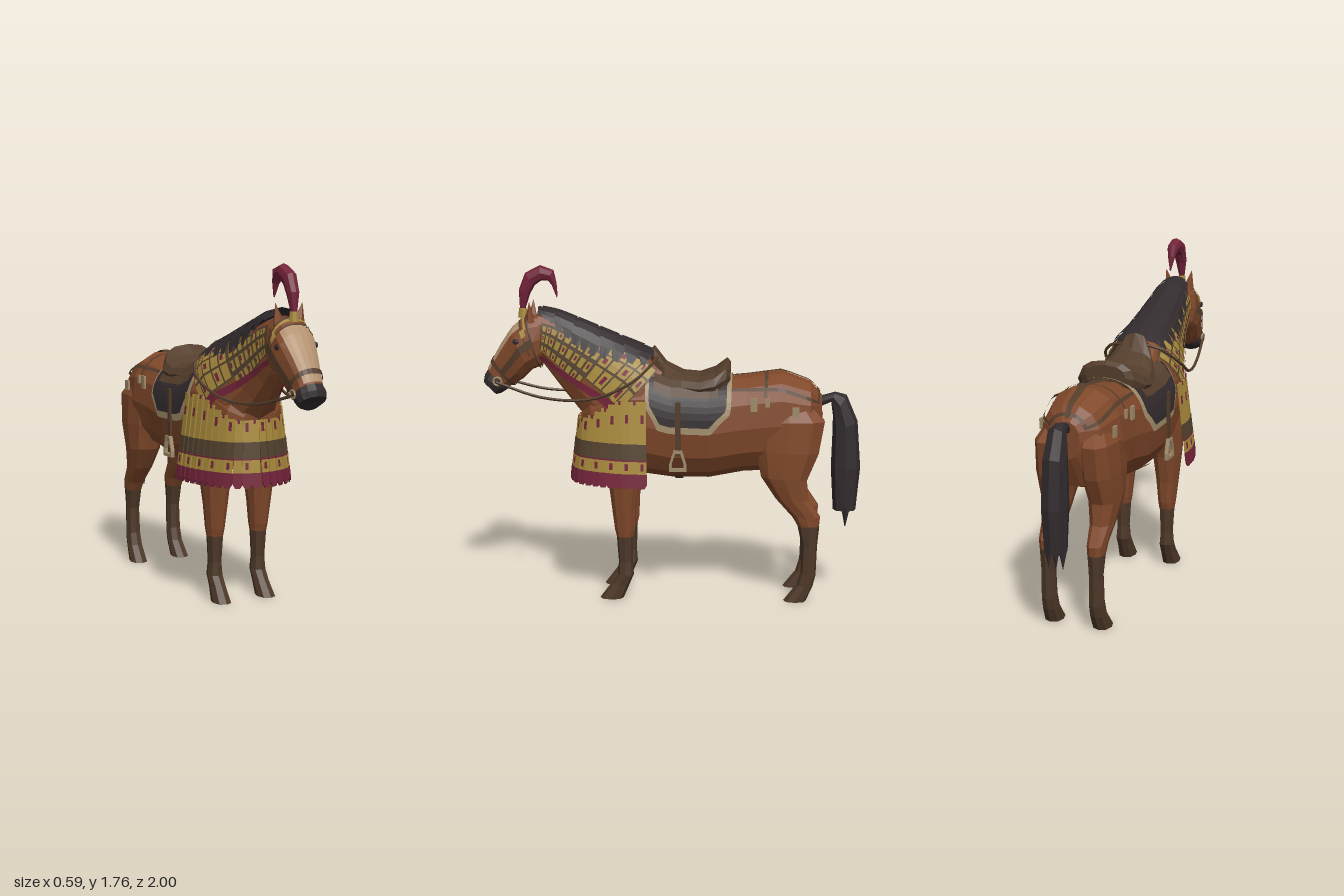
import * as THREE from 'three';
import { mergeGeometries } from 'three/addons/utils/BufferGeometryUtils.js';

const mat = (name, color) => Object.assign(new THREE.MeshStandardMaterial({ color, side: THREE.DoubleSide }), { name });
const lerp = THREE.MathUtils.lerp;

// Each ring is [topY, topZ, bottomY, bottomZ, halfWidth, centreX]; u runs along rings, t (degrees) around them
function surf(rings, u, t, off = 0, side = 1) {
  const i = Math.min(Math.floor(u), rings.length - 2), f = u - i;
  const [ty, tz, by, bz, w, x = 0] = rings[i].map((v, k) => lerp(v, rings[i + 1][k], f));
  const pw = v => Math.sign(v) * Math.pow(Math.abs(v), 0.85);
  const c = pw(Math.cos(t * Math.PI / 180)), s = pw(Math.sin(t * Math.PI / 180));
  const len = Math.hypot(ty - by, tz - bz) / 2 || 1, k = s * (1 + off / len) / 2;
  return [x * side + c * (w + off), (ty + by) / 2 + (ty - by) * k, (tz + bz) / 2 + (tz - bz) * k];
}

// Faceted sheet from f(a, b), both from 0 to 1
function grid(nu, nv, f, caps = false) {
  const pos = [], p = (i, j) => f(i / nu, j / nv);
  for (let i = 0; i < nu; i++) for (let j = 0; j < nv; j++) {
    const a = p(i, j), b = p(i, j + 1), c = p(i + 1, j), d = p(i + 1, j + 1);
    pos.push(...a, ...b, ...c, ...b, ...d, ...c);
  }
  if (caps) for (let j = 1; j < nv - 1; j++) {
    pos.push(...p(0, 0), ...p(0, j + 1), ...p(0, j), ...p(nu, 0), ...p(nu, j), ...p(nu, j + 1));
  }
  const g = new THREE.BufferGeometry();
  g.setAttribute('position', new THREE.Float32BufferAttribute(pos, 3));
  return g;
}
const loft = (rings, n = 12, side = 1) =>
  grid(rings.length - 1, n, (a, b) => surf(rings, a * (rings.length - 1), b * 360, 0, side), true);
// Plate following a lofted surface; t may slide from one pair to another
const patch = (rings, u0, u1, t0, t1, off, e0 = t0, e1 = t1) =>
  grid(Math.max(2, Math.ceil((u1 - u0) * 4)), Math.max(1, Math.ceil(Math.abs(t1 - t0) / 15)),
    (a, b) => surf(rings, lerp(u0, u1, a), lerp(lerp(t0, e0, a), lerp(t1, e1, a), b), off));
// The same plate on both sides
const pair = (r, u0, u1, t0, t1, off, e0 = t0, e1 = t1) => [
  patch(r, u0, u1, t0, t1, off, e0, e1), patch(r, u0, u1, 180 - t1, 180 - t0, off, 180 - e1, 180 - e0)];
const box = (w, h, d, x, y, z) => new THREE.BoxGeometry(w, h, d).translate(x, y, z);

const BODY = [[1.09, -.79, .9, -.79, .07], [1.16, -.73, .74, -.72, .165], [1.215, -.58, .69, -.55, .205], [1.19, -.4, .68, -.38, .205],
  [1.17, -.2, .645, -.2, .215], [1.18, 0, .645, 0, .215], [1.23, .12, .66, .12, .215], [1.22, .26, .68, .28, .205],
  [1.12, .42, .72, .4, .17], [1.04, .47, .82, .46, .1]];
const NECK = [[1.24, .02, .82, .4, .2], [1.3, .12, .96, .46, .178], [1.37, .3, 1.06, .54, .125],
  [1.43, .45, 1.15, .61, .098], [1.49, .6, 1.23, .67, .085], [1.51, .7, 1.27, .7, .08]];
const HEAD = [[1.5, .69, 1.27, .66, .08], [1.5, .76, 1.23, .69, .105], [1.43, .845, 1.21, .74, .115],
  [1.34, .905, 1.16, .79, .095], [1.25, .955, 1.13, .84, .076], [1.21, .975, 1.12, .86, .074]];
const MUZZLE = [HEAD[5], [1.18, .995, 1.1, .88, .08], [1.15, 1, 1.08, .91, .072], [1.12, .965, 1.075, .93, .04]];
const HIND = [[1.08, -.52, 1.08, -.7, .04, .1], [.97, -.43, .97, -.81, .085, .12], [.82, -.44, .8, -.78, .092, .122],
  [.68, -.47, .66, -.72, .08, .13], [.56, -.55, .55, -.73, .06, .13], [.46, -.64, .46, -.79, .046, .13], [.41, -.67, .41, -.785, .042, .13]];
const HIND_LOW = [HIND[6], [.3, -.695, .3, -.775, .036, .13], [.16, -.69, .14, -.77, .04, .13], [.09, -.67, .08, -.755, .042, .13], [0, -.6, 0, -.72, .047, .133]];
const FORE = [[1, .36, 1, .12, .06, .12], [.82, .4, .8, .1, .085, .12], [.66, .33, .65, .155, .077, .13],
  [.5, .31, .5, .18, .06, .13], [.38, .295, .38, .185, .047, .13], [.34, .285, .34, .195, .042, .13]];
const FORE_LOW = [FORE[5], [.2, .275, .2, .2, .034, .13], [.13, .28, .13, .195, .041, .13], [.08, .315, .07, .22, .04, .13], [0, .375, 0, .25, .046, .133]];
const TAIL = [[1.02, -.77, 1.08, -.77, .02], [1.05, -.84, 1.105, -.86, .03], [.98, -.85, 1.09, -.92, .05],
  [.9, -.85, .95, -.98, .06], [.7, -.845, .7, -1, .065], [.47, -.86, .47, -.98, .055]];
const PLUME = [[1.52, .775, 1.52, .8, .014], [1.61, .745, 1.63, .805, .03], [1.655, .72, 1.72, .77, .034], [1.68, .685, 1.76, .69, .034],
  [1.68, .65, 1.735, .62, .03], [1.655, .63, 1.67, .605, .02], [1.59, .605, 1.6, .6, .004]];
const SEAT = [[1.26, -.31, 1.14, -.31, .11], [1.28, -.29, 1.1, -.29, .15], [1.23, -.23, 1.08, -.23, .19], [1.2, -.15, 1.08, -.15, .19],
  [1.21, -.06, 1.08, -.06, .17], [1.26, .03, 1.1, .03, .13], [1.345, .09, 1.13, .09, .085], [1.32, .115, 1.16, .11, .05]];

export function createModel() {
  const root = new THREE.Group();
  root.name = 'armouredHorse';
  const M = {
    coat: mat('chestnut coat', 0x80482a), dark: mat('dark lower leg', 0x4d3828), hair: mat('black hair', 0x322b2d),
    gold: mat('gilded plate', 0xa88a3c), red: mat('crimson cloth', 0x74243a), trim: mat('pale trim', 0xa08c6a),
    blaze: mat('tan face', 0xb39270), leather: mat('brown leather', 0x543d2b), backing: mat('armour backing', 0x54422f),
  };
  const add = (name, material, ...geos) => {
    const flat = geos.flat().map(g => {
      const n = g.index ? g.toNonIndexed() : g;
      n.deleteAttribute('uv');
      n.computeVertexNormals();
      return n;
    });
    const mesh = new THREE.Mesh(mergeGeometries(flat), material);
    mesh.name = name;
    root.add(mesh);
  };
  const sides = [1, -1];
  const both = f => sides.flatMap(f);

  // Animal
  add('body', M.coat, loft(BODY, 14));
  add('neck', M.coat, loft(NECK));
  add('head', M.coat, loft(HEAD));
  add('muzzle', M.hair, loft(MUZZLE));
  add('faceBlaze', M.blaze, patch(HEAD, 1.45, 4.85, 46, 134, .004, 50, 130));
  add('upperLegs', M.coat, both(s => [loft(HIND, 10, s), loft(FORE, 10, s)]));
  add('lowerLegs', M.dark, both(s => [loft(HIND_LOW, 8, s), loft(FORE_LOW, 8, s)]));
  add('ears', M.coat, both(s => new THREE.ConeGeometry(.034, .11, 5).scale(1, 1, .8).rotateZ(-s * .2).translate(s * .066, 1.522, .74)));
  add('eyes', M.hair, both(s => new THREE.SphereGeometry(.016, 6, 4).scale(.5, 1, 1.2).translate(s * .11, 1.37, .81)));
  add('tail', M.hair, loft(TAIL, 8), [-.038, 0, .038].map((x, i) =>
    new THREE.ConeGeometry(.024, .13 - (i % 2 ? 0 : .02), 4).rotateX(Math.PI).translate(x, .435, -.925)));

  // Mane: a crest with overlapping pointed locks on both sides
  const locks = [];
  for (let i = 0; i < 11; i++) for (const s of sides) {
    const u = .95 + i * .36, fall = 46 + 26 * Math.sin(Math.PI * i / 10);
    locks.push(grid(2, 4, (a, b) => surf(NECK, Math.min(5, u + .62 * a * (1 - .7 * b * b) - .15 * b),
      90 - s * fall * b, .036 - .01 * b + .006 * (i % 2))));
  }
  add('mane', M.hair, patch(NECK, .9, 5, 50, 130, .024), locks);

  // Head ornament
  add('plume', M.red, loft(PLUME, 8));
  add('plumeHolder', M.gold, new THREE.CylinderGeometry(.02, .026, .05, 8).translate(0, 1.51, .785));

  // Bridle and reins
  add('bridle', M.leather, patch(HEAD, 3.75, 4, 0, 360, .008), patch(HEAD, .95, 1.1, 0, 360, .009),
    pair(HEAD, 1, 3.9, -6, 6, .009), patch(HEAD, 1.4, 1.5, -20, 200, .008));
  add('browPlate', M.gold, patch(HEAD, 1.14, 1.28, 28, 152, .012), pair(HEAD, 1.25, 1.55, 16, 34, .012));
  add('bitRings', M.trim, both(s => new THREE.TorusGeometry(.022, .006, 4, 8).rotateY(Math.PI / 2).translate(s * .085, 1.155, .915)));
  add('reins', M.leather, both(s => new THREE.TubeGeometry(new THREE.CatmullRomCurve3(
    [[.085, 1.15, .92], [.14, 1.08, .66], [.19, 1.085, .4], [.215, 1.18, .19], [.14, 1.27, .09], [.05, 1.29, .07]]
      .map(([x, y, z]) => new THREE.Vector3(s * x, y, z))), 20, .008, 5)));

  // Neck armour: lames over a backing, with cloth tabs and border
  const lames = [], tabs = [];
  for (let i = 0; i < 5; i++) for (let j = 0; j < 3; j++) {
    const u = .3 + i * .35, t = -6 + j * 20;
    lames.push(...pair(NECK, u, u + .29, t, t + 17, .02));
    if ((i + j) % 2) tabs.push(...pair(NECK, u + .08, u + .2, t + 4, t + 12, .025));
  }
  for (let i = 0; i < 9; i++) for (let j = 0; j < 3; j++) {
    const u = 2.1 + i * .29, t = -20 + j * 18;
    lames.push(...pair(NECK, u, u + .2, t, t + 12, .016));
    if ((i + j) % 2) tabs.push(...pair(NECK, u + .05, u + .13, t + 3, t + 9, .021));
  }
  add('neckBacking', M.backing, pair(NECK, .25, 2.1, -8, 55, .014), pair(NECK, 2.05, 4.75, -22, 36, .009));
  add('neckLames', M.gold, lames);
  add('neckTabs', M.red, tabs);
  add('neckBorder', M.red, pair(NECK, .3, 4.7, -12, -3, .022, -44, -32));

  // Chest skirt: hanging slats along a curved path, banded from top to bottom
  const path = new THREE.CatmullRomCurve3([[-.245, .14], [-.236, .23], [-.195, .36], [-.14, .445], [-.07, .48], [0, .49],
    [.07, .48], [.14, .445], [.195, .36], [.236, .23], [.245, .14]].map(([x, z]) => new THREE.Vector3(x, .97, z)));
  const tip = new THREE.Shape([[-.026, -.265], [.026, -.265], [.026, -.32], [.012, -.342], [-.012, -.342], [-.026, -.32]].map(p => new THREE.Vector2(...p)));
  const band = { gold: [], backing: [], red: [] };
  const N = 25;
  for (let i = 0; i < N; i++) {
    const p = path.getPointAt(i / (N - 1)), d = path.getTangentAt(i / (N - 1));
    const m = new THREE.Matrix4().makeRotationFromEuler(new THREE.Euler(-.12, Math.atan2(-d.z, d.x) + .16 * Math.sign(p.x), 0, 'YXZ')).setPosition(p);
    const rise = THREE.MathUtils.clamp((.45 - p.z) * .6, 0, .11);
    const put = (k, g) => band[k].push(g.applyMatrix4(m));
    put('gold', box(.044, .118 + rise, .008, 0, -.059 + rise / 2, 0));
    put('backing', box(.049, .09, .008, 0, -.155, .002));
    put('gold', box(.047, .075, .008, 0, -.232, .003));
    put('red', new THREE.ExtrudeGeometry(tip, { depth: .008, bevelEnabled: false }));
    put('red', box(.05, .008, .009, 0, -.196, .003));
    if (i % 2 === 0) {
      put('red', box(.016, .045, .012, 0, -.035 + rise * .5, 0));
      put('red', box(.016, .035, .012, 0, -.23, .003));
    } else put('red', box(.012, .02, .012, 0, -.008 + rise, 0));
  }
  add('skirtPlates', M.gold, band.gold);
  add('skirtLeatherBand', M.backing, band.backing);
  add('skirtClothHem', M.red, band.red);

  // Saddle cloth with cut corners and a pale border
  const cloth = (u0, u1, t, off) => grid(10, 24, (a, b) => {
    const k = Math.max(0, Math.abs(2 * b - 1) - .82) * 1.1;
    return surf(BODY, lerp(u0, u1, lerp(k, 1 - k, a)), lerp(t, 180 - t, b), off);
  });
  add('saddleClothBorder', M.trim, cloth(3.4, 6.05, 0, .014));
  add('saddleCloth', M.hair, cloth(3.52, 5.9, 5, .021));
  add('saddleSeat', M.leather, loft(SEAT, 12));
  add('saddleFlaps', M.leather, patch(BODY, 3.75, 5.7, 36, 144, .03));
  add('girth', M.leather, patch(BODY, 4.68, 4.88, -125, -55, .01));

  // Stirrups
  const iron = new THREE.Shape([[-.045, -.055], [.045, -.055], [.045, -.02], [.022, .055], [-.022, .055], [-.045, -.02]].map(p => new THREE.Vector2(...p)));
  iron.holes.push(new THREE.Path([[-.031, -.038], [-.031, -.016], [-.013, .04], [.013, .04], [.031, -.016], [.031, -.038]].map(p => new THREE.Vector2(...p))));
  add('stirrupStraps', M.leather, both(s => box(.012, .28, .026, s * .243, .94, -.045)));
  add('stirrupIrons', M.trim, both(s => new THREE.ExtrudeGeometry(iron, { depth: .02, bevelEnabled: false })
    .translate(0, 0, -.01).rotateY(Math.PI / 2).translate(s * .248, .775, -.045)));

  // Hindquarter harness
  add('rumpStraps', M.leather, patch(BODY, .1, 3.5, 86, 94, .008), patch(BODY, 2.4, 2.5, 32, 148, .007),
    pair(BODY, .2, 3.5, 27, 33, .013, 46, 51), patch(BODY, .2, .4, 28, 152, .012));
  add('harnessTags', M.trim, both(s => [box(.012, .07, .035, s * .2, 1.065, -.435), box(.012, .045, .022, s * .194, 1.075, -.505),
    box(.012, .055, .035, s * .196, 1.025, -.65)]));
  return root;
}
